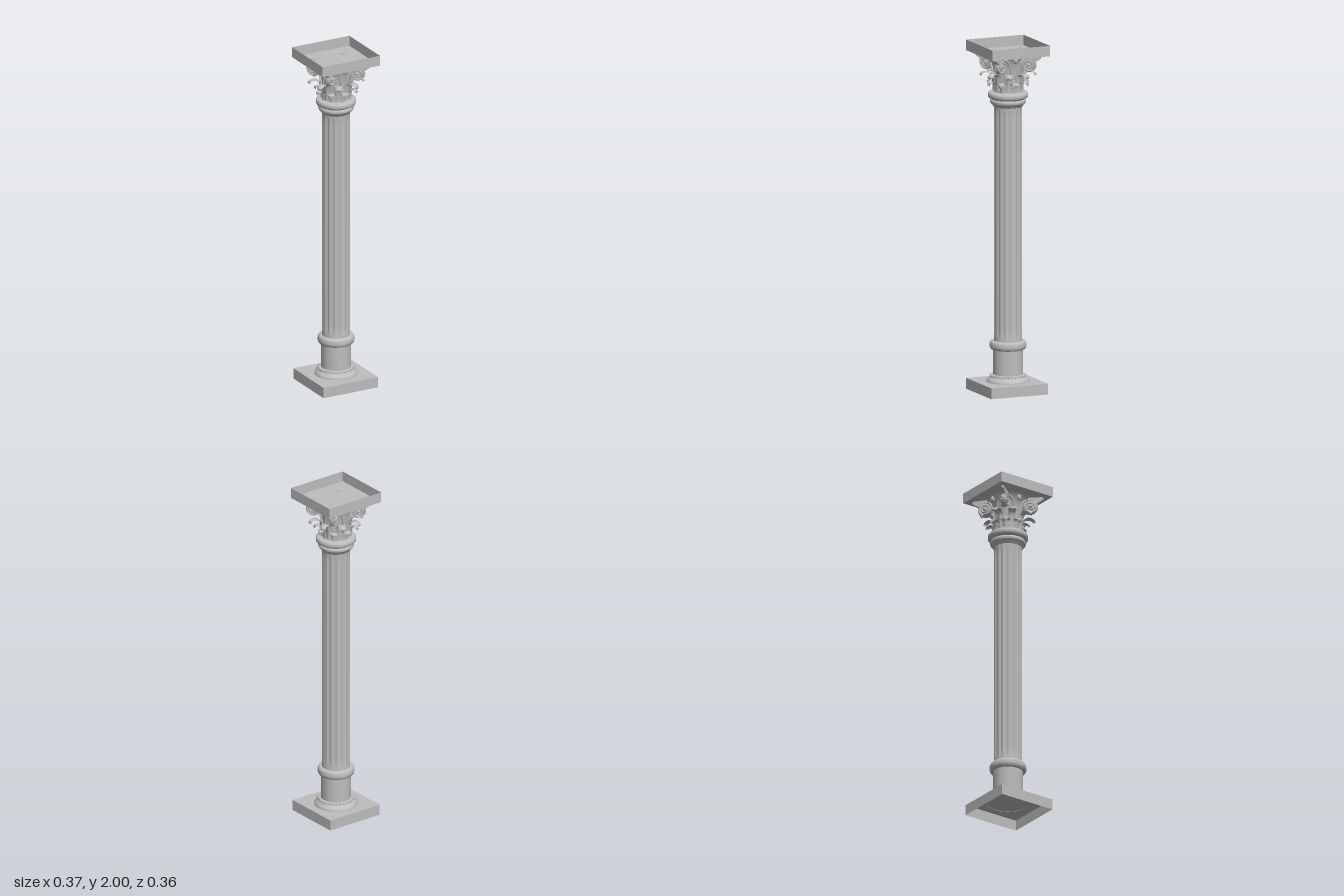
import * as THREE from 'three';
import { toCreasedNormals, mergeVertices } from 'three/addons/utils/BufferGeometryUtils.js';

const stone = new THREE.MeshStandardMaterial({ color: 0xbdbdbd, side: THREE.DoubleSide });
stone.name = 'stone';

const V = (x, y, z) => new THREE.Vector3(x, y, z);

function add(parent, name, geometry) {
  const mesh = new THREE.Mesh(geometry, stone);
  mesh.name = name;
  parent.add(mesh);
  return mesh;
}

function turned(points, crease = 0.6) {
  const g = new THREE.LatheGeometry(points.map(p => new THREE.Vector2(p[0], p[1])), 64);
  return toCreasedNormals(g, crease);
}

// Rounded moulding bulging from radius r to r + bulge between two heights
function roll(r, bulge, y0, y1) {
  const pts = [];
  for (let i = 0; i <= 10; i++) {
    const a = Math.PI * (i / 10 - 0.5);
    pts.push([r + bulge * Math.cos(a), (y0 + y1) / 2 + Math.sin(a) * (y1 - y0) / 2]);
  }
  return pts;
}

// Box shell with one horizontal face left out (2 = top, 3 = bottom)
function tray(w, h, d, missing) {
  const g = new THREE.BoxGeometry(w, h, d);
  const index = Array.from(g.index.array);
  index.splice(missing * 6, 6);
  g.setIndex(index);
  g.clearGroups();
  return g;
}

// Shaft with shallow flutes that fade out at both ends
function flutedShaft(r, y0, y1) {
  const h = y1 - y0;
  const g = new THREE.CylinderGeometry(r, r, h, 128, 24, true);
  const p = g.attributes.position;
  for (let i = 0; i < p.count; i++) {
    const a = Math.atan2(p.getX(i), p.getZ(i));
    const t = p.getY(i) / (h / 2);
    const y = Math.sign(t) * (1 - (1 - Math.abs(t)) ** 2) * h / 2;
    const end = h / 2 - Math.abs(y);
    const flute = Math.abs(Math.cos(8 * a));
    const fade = THREE.MathUtils.smoothstep(end, 0.012, 0.035);
    const rr = r - 0.006 * flute * fade;
    p.setXYZ(i, rr * Math.sin(a), y + (y0 + y1) / 2, rr * Math.cos(a));
  }
  return toCreasedNormals(g, 0.5);
}

// Curling leaf: a side profile swept across a lobed width, facing +z
function leaf(profile, width) {
  const curve = new THREE.CatmullRomCurve3(profile.map(([r, y]) => V(0, y, r)));
  const nu = 8, nv = 28;
  const g = new THREE.PlaneGeometry(1, 1, nu, nv);
  const p = g.attributes.position;
  for (let i = 0; i < p.count; i++) {
    const s = p.getX(i) * 2, t = p.getY(i) + 0.5;
    const c = curve.getPoint(t);
    const lobes = 1 - 0.22 * Math.abs(Math.sin(t * Math.PI * 4));
    const w = width * lobes * (t < 0.6 ? 1 : Math.sqrt(Math.max(0.04, (1 - t) / 0.4)));
    const a = s * w / c.z;
    // raised midrib and drooping side lobes
    const r = c.z + 0.005 * (1 - Math.abs(s)) ** 2 - 0.004 * s * s;
    p.setXYZ(i, r * Math.sin(a), c.y - 0.008 * s * s * t, r * Math.cos(a));
  }
  g.deleteAttribute('normal');
  g.deleteAttribute('uv');
  const smooth = mergeVertices(g, 1e-5);
  smooth.computeVertexNormals();
  return smooth;
}

function leafRing(parent, name, profile, width, count, offset) {
  const g = leaf(profile, width);
  for (let i = 0; i < count; i++) {
    add(parent, name, g).rotation.y = offset + i * Math.PI * 2 / count;
  }
}

// Stem rising from the middle of a face into a corner spiral
function volute() {
  const group = new THREE.Group();
  group.name = 'volute';
  const c = V(0.083, 1.883, 0.1), u = V(0.86, 0, 0.5).normalize();
  const n = V(-u.z, 0, u.x);
  const pts = [V(0.012, 1.8, 0.085), V(0.02, 1.85, 0.09), V(0.04, 1.905, 0.094)];
  for (let i = 0; i <= 40; i++) {
    const t = i / 40, a = Math.PI * (0.6 - 4.2 * t), r = 0.042 - 0.035 * t;
    pts.push(c.clone().addScaledVector(u, r * Math.cos(a)).add(V(0, r * Math.sin(a), 0))
      .addScaledVector(n, 0.006 * t));
  }
  add(group, 'voluteScroll', new THREE.TubeGeometry(new THREE.CatmullRomCurve3(pts), 130, 0.0058, 8));
  const disc = add(group, 'voluteDisc', new THREE.CylinderGeometry(0.04, 0.04, 0.016, 32));
  disc.position.copy(c).addScaledVector(n, -0.007);
  disc.quaternion.setFromUnitVectors(V(0, 1, 0), n);
  const eye = add(group, 'voluteEye', new THREE.SphereGeometry(0.009, 14, 10));
  eye.position.copy(c).addScaledVector(n, 0.006);
  return group;
}

// Tapering horn that runs out to a corner under the top slab
function horn() {
  const g = new THREE.BoxGeometry(1, 1, 1, 1, 1, 6);
  const p = g.attributes.position;
  for (let i = 0; i < p.count; i++) {
    const t = p.getZ(i) + 0.5, top = p.getY(i) > 0;
    const w = THREE.MathUtils.lerp(0.036, 0.014, t);
    p.setXYZ(i, p.getX(i) * w, top ? 1.944 : 1.89 + 0.035 * t * t, 0.116 + 0.084 * t);
  }
  return toCreasedNormals(g, 0.5);
}

export function createModel() {
  const model = new THREE.Group();
  model.name = 'column';

  // Base
  add(model, 'plinth', tray(0.35, 0.062, 0.35, 3)).position.set(-0.004, 0.031, 0.004);
  add(model, 'baseFlare', turned([[0.122, 0.06], [0.122, 0.068], [0.117, 0.076], [0.106, 0.084],
    [0.099, 0.093], [0.097, 0.102], [0.085, 0.104]]));
  const bead = new THREE.SphereGeometry(0.0055, 8, 6);
  for (let i = 0; i < 32; i++) {
    const a = i * Math.PI / 16;
    add(model, 'baseBead', bead).position.set(0.099 * Math.sin(a), 0.098, 0.099 * Math.cos(a));
  }
  add(model, 'pedestalDrum', turned([[0.085, 0.1], [0.085, 0.25]]));
  add(model, 'lowerRing', turned([[0.08, 0.246], ...roll(0.092, 0.012, 0.246, 0.296), [0.07, 0.298]]));

  // Shaft
  add(model, 'shaft', flutedShaft(0.08, 0.295, 1.65));

  // Neck mouldings
  add(model, 'neckRing', turned([[0.078, 1.635], [0.086, 1.642], [0.09, 1.652], ...roll(0.094, 0.007, 1.655, 1.68),
    [0.1, 1.684], ...roll(0.107, 0.007, 1.688, 1.72), [0.08, 1.724]]));

  // Capital
  const capital = new THREE.Group();
  capital.name = 'capital';
  model.add(capital);
  add(capital, 'bell', turned([[0.076, 1.715], [0.077, 1.78], [0.08, 1.83], [0.088, 1.88], [0.1, 1.918], [0.118, 1.94]]));
  leafRing(capital, 'lowerLeaf', [[0.082, 1.722], [0.085, 1.75], [0.092, 1.776], [0.107, 1.786],
    [0.121, 1.778], [0.123, 1.766]], 0.029, 8, 0);
  leafRing(capital, 'upperLeaf', [[0.082, 1.73], [0.085, 1.78], [0.094, 1.82], [0.118, 1.838],
    [0.145, 1.835], [0.156, 1.822], [0.152, 1.815]], 0.026, 8, Math.PI / 8);

  const hornGeometry = horn();
  for (let i = 0; i < 4; i++) {
    const side = new THREE.Group();
    side.name = 'capitalSide';
    side.rotation.y = i * Math.PI / 2;
    const right = volute(), left = volute();
    left.scale.x = -1;
    side.add(right, left);
    add(side, 'cornerHorn', hornGeometry).rotation.y = Math.PI / 4;
    // small bud between the two stems
    const bud = add(side, 'centreBud', new THREE.SphereGeometry(0.014, 14, 10));
    bud.scale.set(0.9, 1.4, 0.8);
    bud.position.set(0, 1.917, 0.106);
    capital.add(side);
  }

  // Open-topped slab
  add(model, 'topSlab', tray(0.368, 0.06, 0.356, 2)).position.y = 1.97;
  return model;
}
